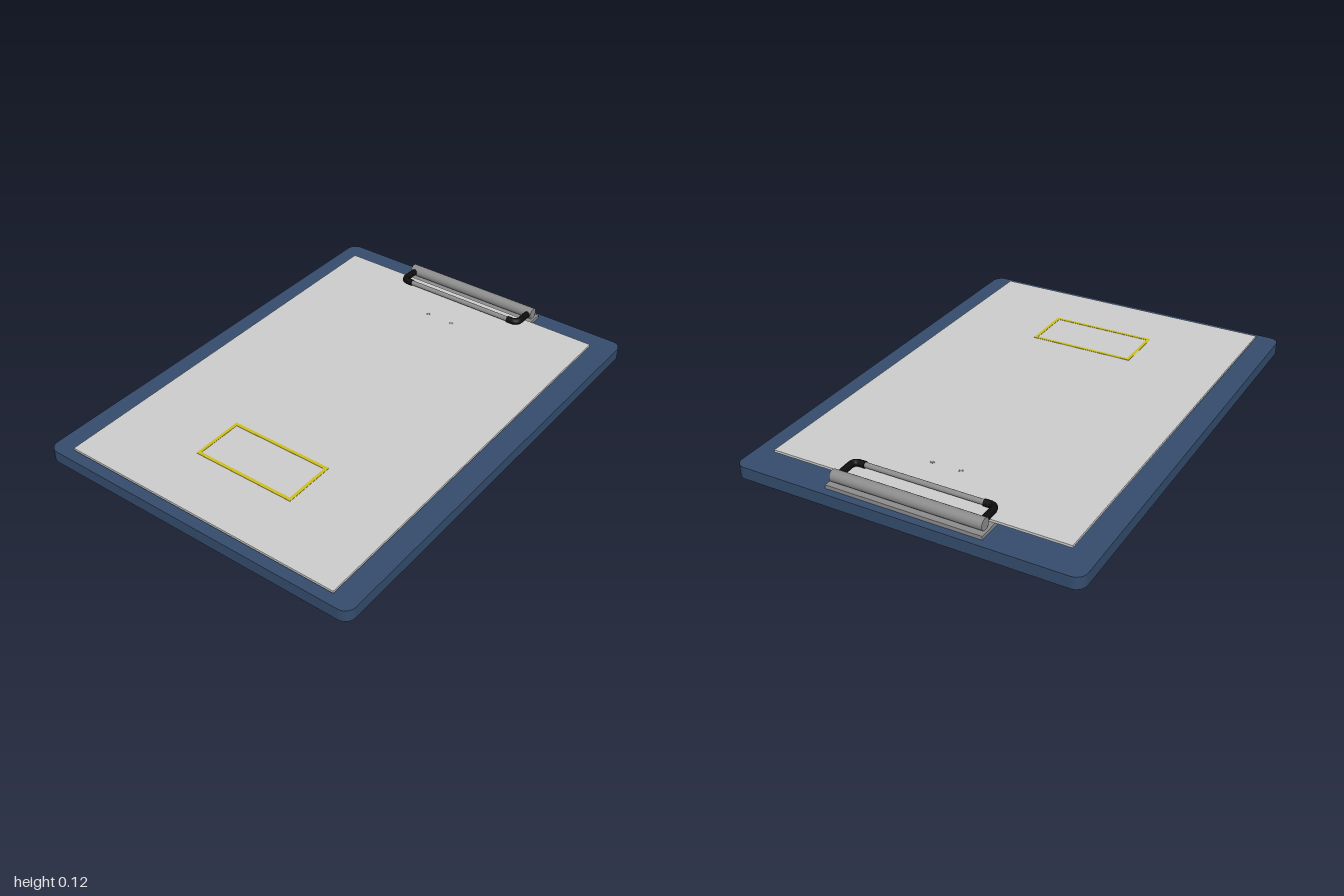
import * as THREE from 'three';

const mat = (name, color) => new THREE.MeshStandardMaterial({ name, color });

export function createModel() {
  const navy = mat('navy board', 0x344c6c);
  const white = mat('paper', 0xcccccc);
  const steel = mat('steel', 0x8c8c8c);
  const black = mat('black rubber', 0x0c0c0c);
  const yellow = mat('yellow', 0xcdbf1e);

  const model = new THREE.Group();
  model.name = 'clipboard';
  const add = (parent, name, geometry, material, x = 0, y = 0, z = 0) => {
    const mesh = new THREE.Mesh(geometry, material);
    mesh.name = name;
    mesh.position.set(x, y, z);
    parent.add(mesh);
    return mesh;
  };

  // Board with rounded corners
  const w = 0.737, l = 1, r = 0.045;
  const outline = new THREE.Shape();
  outline.absarc(w - r, l - r, r, 0, Math.PI / 2);
  outline.absarc(-w + r, l - r, r, Math.PI / 2, Math.PI);
  outline.absarc(-w + r, -l + r, r, Math.PI, Math.PI * 1.5);
  outline.absarc(w - r, -l + r, r, Math.PI * 1.5, Math.PI * 2);
  const boardGeo = new THREE.ExtrudeGeometry(outline, { depth: 0.052, bevelEnabled: false, curveSegments: 8 });
  boardGeo.rotateX(-Math.PI / 2);
  add(model, 'board', boardGeo, navy);

  // Paper, raised at the clip end
  const paper = new THREE.Group();
  paper.name = 'paperSheet';
  paper.position.set(0, 0.069, 0.038);
  paper.rotation.x = 0.0068;
  model.add(paper);
  add(paper, 'paper', new THREE.BoxGeometry(1.28, 0.01, 1.835), white);

  // Printed frame near the foot of the page
  const frame = new THREE.Shape();
  frame.moveTo(-0.235, -0.118).lineTo(0.235, -0.118).lineTo(0.235, 0.118).lineTo(-0.235, 0.118).closePath();
  const hole = new THREE.Path();
  hole.moveTo(-0.221, -0.103).lineTo(-0.221, 0.103).lineTo(0.221, 0.103).lineTo(0.221, -0.103).closePath();
  frame.holes.push(hole);
  const frameGeo = new THREE.ExtrudeGeometry(frame, { depth: 0.002, bevelEnabled: false });
  frameGeo.rotateX(-Math.PI / 2);
  add(paper, 'yellowFrame', frameGeo, yellow, 0, 0.0045, 0.535);

  // Two tiny star marks on the page
  for (const side of [-1, 1]) {
    for (let i = 0; i < 3; i++) {
      const bar = add(paper, 'starMark', new THREE.BoxGeometry(0.02, 0.002, 0.003), steel, side * 0.063, 0.005, -0.698);
      bar.rotation.y = i * Math.PI / 3;
    }
  }

  // Clip: base plate, hinge barrel and wire bail
  const clip = new THREE.Group();
  clip.name = 'clip';
  model.add(clip);
  add(clip, 'clipPlate', new THREE.BoxGeometry(0.67, 0.016, 0.19), steel, 0, 0.06, -0.872);
  const rod = (name, radius, length, y, z) => {
    const geo = new THREE.CylinderGeometry(radius, radius, length, 20);
    geo.rotateZ(Math.PI / 2);
    add(clip, name, geo, steel, 0, y, z);
  };
  rod('hingeBarrel', 0.025, 0.65, 0.092, -0.928);
  rod('bailRod', 0.011, 0.54, 0.095, -0.818);

  // Rubber-covered corners of the bail
  for (const s of [-1, 1]) {
    const path = new THREE.CurvePath();
    const v = (x, y, z) => new THREE.Vector3(s * x, y, z);
    path.add(new THREE.LineCurve3(v(0.307, 0.092, -0.92), v(0.307, 0.095, -0.848)));
    path.add(new THREE.QuadraticBezierCurve3(v(0.307, 0.095, -0.848), v(0.307, 0.095, -0.818), v(0.28, 0.095, -0.818)));
    path.add(new THREE.LineCurve3(v(0.28, 0.095, -0.818), v(0.257, 0.095, -0.818)));
    add(clip, 'bailCorner', new THREE.TubeGeometry(path, 24, 0.0145, 12), black);
    const cap = add(clip, 'bailCornerCap', new THREE.CircleGeometry(0.0145, 12), black, s * 0.257, 0.095, -0.818);
    cap.rotation.y = -s * Math.PI / 2;
  }
  return model;
}
